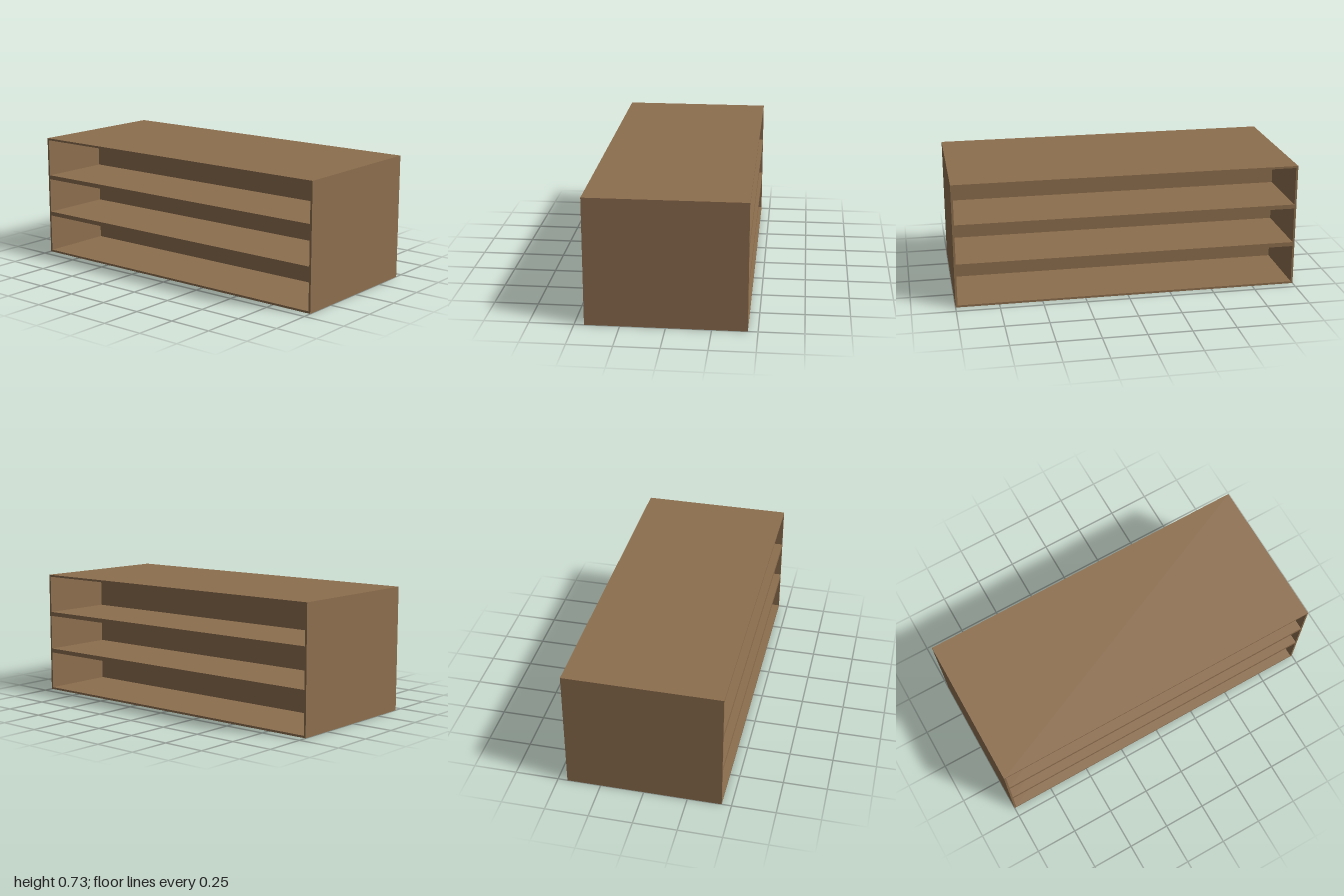
import * as THREE from 'three';

const W = 2, H = 0.73, D = 0.89;   // overall size
const T = 0.012;                   // outer board thickness
const SHELF_T = 0.025;             // shelf thickness

export function createModel() {
  const model = new THREE.Group();
  model.name = 'openShelfUnit';
  const wood = new THREE.MeshStandardMaterial({ color: 0x8d6e4e });

  const board = (name, w, h, d, x, y, z = 0) => {
    const mesh = new THREE.Mesh(new THREE.BoxGeometry(w, h, d), wood);
    mesh.name = name;
    mesh.position.set(x, y, z);
    model.add(mesh);
  };

  // Outer case
  board('bottomPanel', W, T, D, 0, T / 2);
  board('topPanel', W, T, D, 0, H - T / 2);
  for (const [name, s] of [['leftSide', 1], ['rightSide', -1]]) {
    board(name, T, H - 2 * T, D, s * (W - T) / 2, H / 2);
  }

  // Shelves running through to both open faces
  board('lowerShelf', W - 2 * T, SHELF_T, D, 0, 0.249);
  board('upperShelf', W - 2 * T, SHELF_T, D, 0, 0.483);

  // Upright divider along the middle, closing each bay from front to back
  const bays = [[T, 0.2365], [0.2615, 0.4705], [0.4955, H - T]];
  bays.forEach(([y0, y1], i) => {
    board(`middleDivider${i + 1}`, W - 2 * T, y1 - y0, T, 0, (y0 + y1) / 2);
  });

  return model;
}
